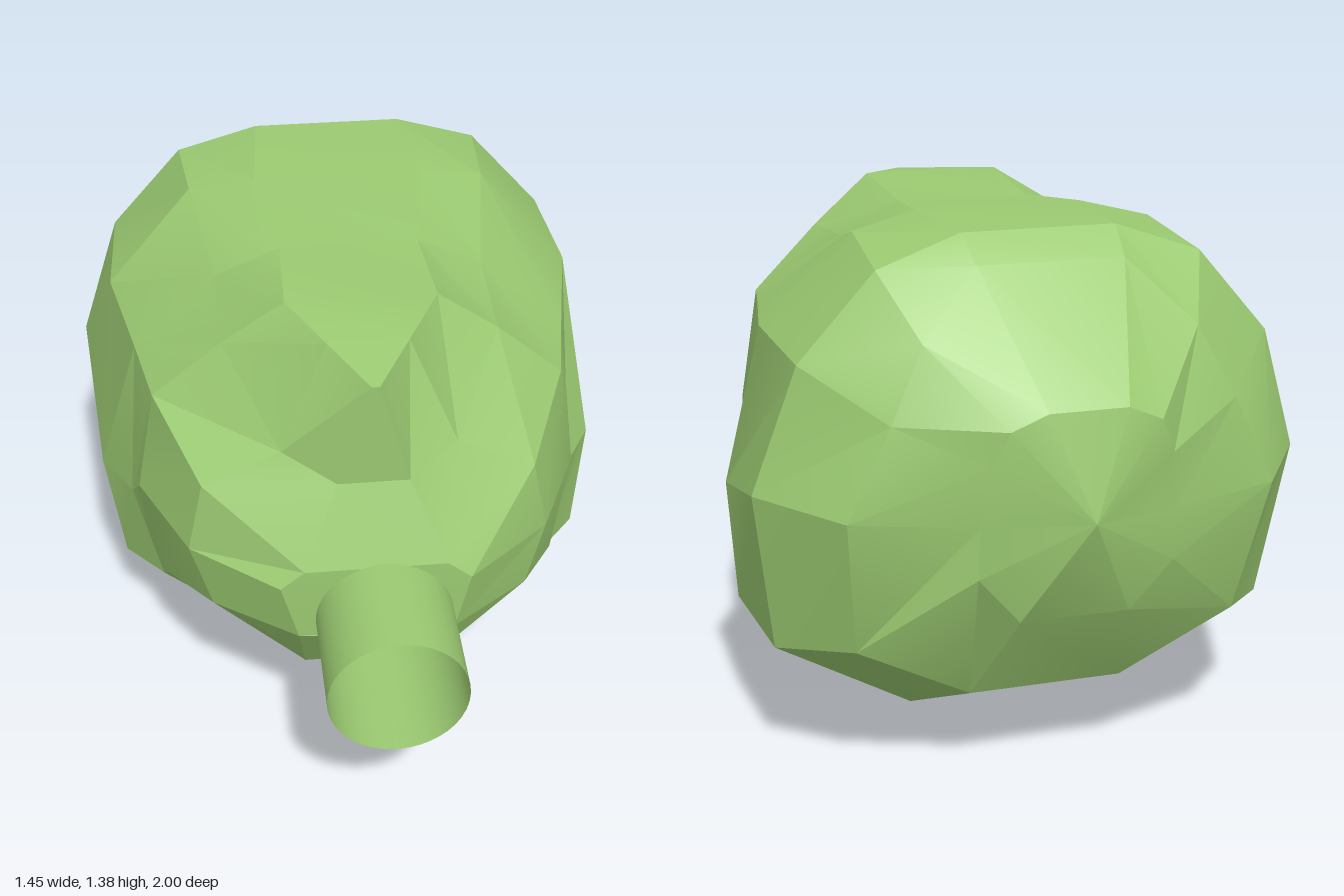
import * as THREE from 'three';
import { toCreasedNormals } from 'three/addons/utils/BufferGeometryUtils.js';

const material = new THREE.MeshStandardMaterial({ color: 0x9ccb72, side: THREE.DoubleSide });

// Half cross-sections from front to back; each runs from the belly up to the crown as [x, y, z]
const SECTIONS = [
  [[0.11, 0.61, 0.71], [0.2, 0.61, 0.7], [0.24, 0.78, 0.71], [0.18, 0.83, 0.71], [0.09, 1.04, 0.63], [0.01, 1.34, 0.65]],
  [[0.18, 0.36, 0.53], [0.41, 0.59, 0.53], [0.46, 0.78, 0.53], [0.42, 0.98, 0.53], [0.22, 1.08, 0.54], [0.1, 1.36, 0.49]],
  [[0.22, 0.2, 0.26], [0.53, 0.47, 0.26], [0.58, 0.78, 0.26], [0.53, 1.08, 0.27], [0.35, 1.25, 0.3], [0.19, 1.38, 0.33]],
  [[0.24, 0.05, 0.09], [0.55, 0.32, 0.09], [0.61, 0.63, 0.09], [0.57, 1.09, 0.06], [0.35, 1.27, 0.02], [0.18, 1.35, 0.03]],
  [[0.25, 0, -0.05], [0.655, 0.3, -0.05], [0.69, 0.63, -0.05], [0.63, 1.1, -0.24], [0.4, 1.34, -0.31], [0.225, 1.38, -0.27]],
  [[0.25, 0.065, -0.36], [0.66, 0.34, -0.53], [0.725, 0.75, -0.55], [0.615, 1.08, -0.59], [0.42, 1.3, -0.6], [0.2, 1.375, -0.58]],
  [[0.2, 0.23, -0.71], [0.5, 0.38, -0.72], [0.55, 0.74, -0.8], [0.44, 0.97, -0.8], [0.35, 1.15, -0.76], [0.19, 1.31, -0.67]],
  [[0.14, 0.48, -0.89], [0.25, 0.6, -0.89], [0.25, 0.73, -0.89], [0.23, 0.88, -0.91], [0.19, 0.97, -0.93], [0.1, 1.01, -0.94]],
];

function createHeadGeometry() {
  // The underside sits slightly off the centre line
  const shift = (y) => 0.025 * Math.max(0, 1 - y / 0.75);
  const rings = SECTIONS.map((half) => {
    const right = half.map(([x, y, z]) => [x + shift(y), y, z]);
    const left = half.map(([x, y, z]) => [-x + shift(y), y, z]).reverse();
    return [...right, ...left];
  });
  const positions = [];
  const tri = (...points) => points.forEach((p) => positions.push(...p));
  const quad = (a, b, c, d) => { tri(a, b, c); tri(a, c, d); };
  const count = rings[0].length;

  // Skin between neighbouring sections
  for (let k = 0; k < rings.length - 1; k++) {
    for (let i = 0; i < count; i++) {
      const j = (i + 1) % count;
      quad(rings[k][i], rings[k + 1][i], rings[k + 1][j], rings[k][j]);
    }
  }
  // Face closed by strips across the centre line
  const front = rings[0];
  for (let i = 0; i < count / 2 - 1; i++) {
    quad(front[i], front[i + 1], front[count - 2 - i], front[count - 1 - i]);
  }
  // Back drawn to a point
  const back = rings[rings.length - 1];
  for (let i = 0; i < count; i++) tri(back[i], [0, 0.75, -1], back[(i + 1) % count]);

  const geometry = new THREE.BufferGeometry();
  geometry.setAttribute('position', new THREE.Float32BufferAttribute(positions, 3));
  return toCreasedNormals(geometry, 0.3);
}

export function createModel() {
  const model = new THREE.Group();

  const head = new THREE.Mesh(createHeadGeometry(), material);
  head.name = 'head';
  model.add(head);

  // Open, thin-walled spout on the face
  const spoutGeometry = new THREE.CylinderGeometry(0.175, 0.175, 0.42, 40, 1, true);
  spoutGeometry.rotateX(Math.PI / 2);
  const spout = new THREE.Mesh(spoutGeometry, material);
  spout.name = 'spout';
  spout.position.set(0.022, 0.665, 0.79);
  model.add(spout);

  return model;
}
